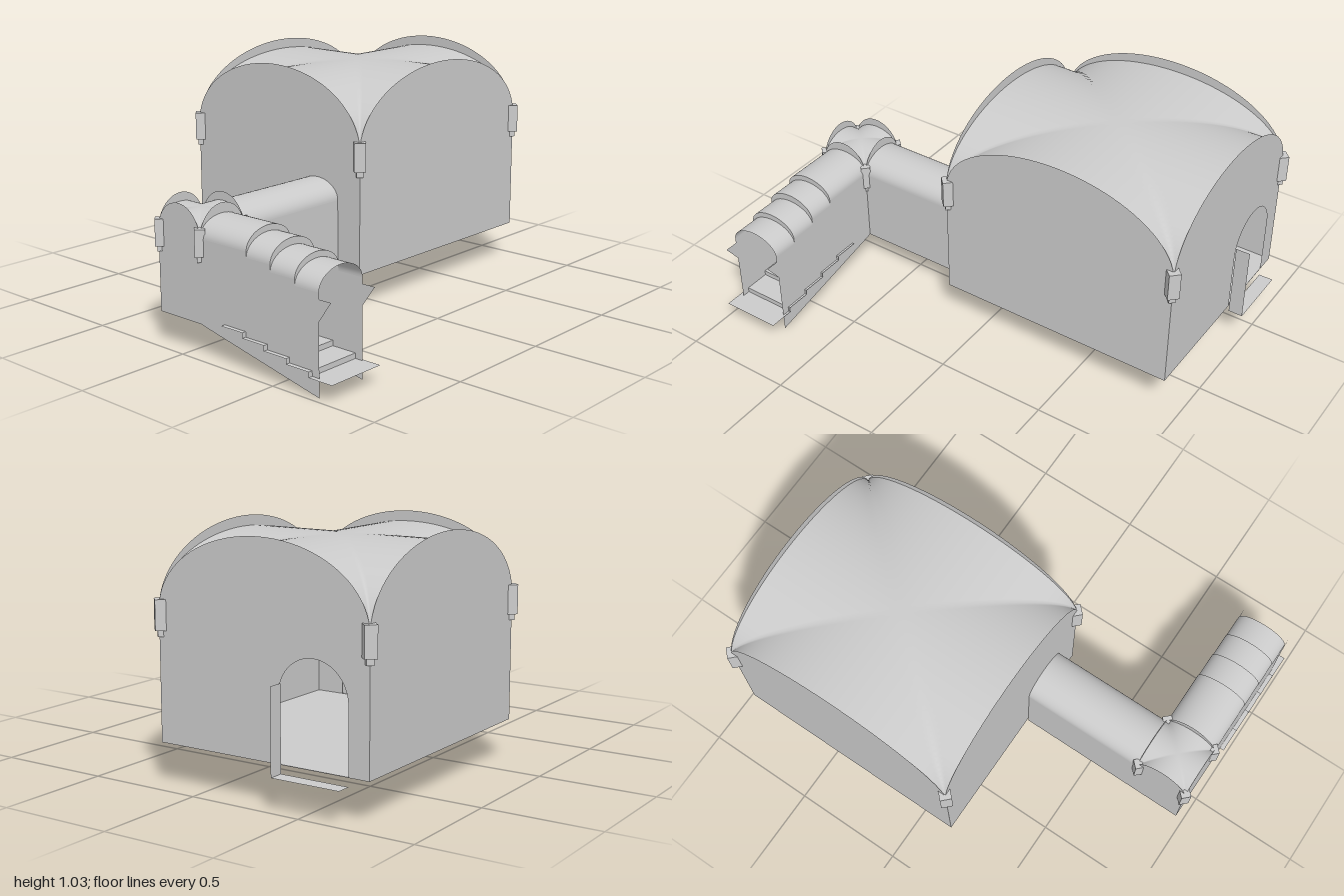
import * as THREE from 'three';

const grey = new THREE.MeshStandardMaterial({ color: 0xcccccc, side: THREE.DoubleSide });
const brown = new THREE.MeshStandardMaterial({ color: 0x9a8577, side: THREE.DoubleSide });

// Height of an elliptical arch at offset t (-1..1) from its centre
const rise = (t, spring, apex) => spring + (apex - spring) * Math.sqrt(Math.max(0, 1 - t * t));
const SEG = 40;
const archPoints = (cx, half, spring, apex) => Array.from({ length: SEG + 1 }, (_, i) => {
  const t = -Math.cos((i / SEG) * Math.PI);
  return new THREE.Vector2(cx + half * t, rise(t, spring, apex));
});

// Flat outline with a straight base and an arched top
function archOutline(cx, half, base, spring, apex) {
  return [new THREE.Vector2(cx - half, base), ...archPoints(cx, half, spring, apex),
    new THREE.Vector2(cx + half, base)];
}

export function createModel() {
  const root = new THREE.Group();
  const add = (name, geometry, parent = root, material = grey) => {
    const mesh = new THREE.Mesh(geometry, material);
    mesh.name = name;
    parent.add(mesh);
    return mesh;
  };

  // Surface whose points follow a rule of (u, v), both 0..1
  function sheet(name, nu, nv, rule, parent) {
    const g = new THREE.PlaneGeometry(1, 1, nu, nv);
    const p = g.attributes.position;
    for (let i = 0; i < p.count; i++) p.setXYZ(i, ...rule(p.getX(i) + 0.5, 0.5 - p.getY(i)));
    g.computeVertexNormals();
    return add(name, g, parent);
  }

  // Upright flat panel; sideways panels lie in a plane of constant x
  function panel(name, points, x, z, sideways, hole, parent) {
    const shape = new THREE.Shape(points);
    if (hole) shape.holes.push(new THREE.Path(hole));
    const mesh = add(name, new THREE.ShapeGeometry(shape), parent);
    mesh.position.set(x, 0, z);
    if (sideways) mesh.rotation.y = Math.PI / 2;
    return mesh;
  }

  // Horizontal plate
  const plate = (name, x0, x1, y, z0, z1, parent) =>
    sheet(name, 1, 1, (u, v) => [x0 + (x1 - x0) * u, y, z0 + (z1 - z0) * v], parent);

  // Two crossing barrels that meet in valleys along the diagonals
  function groinVault(name, cx, cz, hx, hz, spring, apex, parent) {
    sheet(name, 64, 64, (u, v) => {
      const s = -Math.cos(u * Math.PI), t = -Math.cos(v * Math.PI);
      return [cx + hx * s, Math.max(rise(s, spring, apex), rise(t, spring, apex)), cz + hz * t];
    }, parent);
  }

  // Lantern set diagonally on a corner, with a narrow foot
  function lantern(x, y, z, size, height) {
    const g = new THREE.Group();
    g.name = 'cornerLantern';
    const body = add('lanternBody', new THREE.BoxGeometry(size, height * 0.83, size), g);
    body.position.y = height * 0.585;
    const foot = add('lanternFoot', new THREE.BoxGeometry(size * 0.6, height * 0.18, size * 0.6), g);
    foot.position.y = height * 0.09;
    g.position.set(x, y, z);
    g.rotation.y = Math.PI / 4;
    root.add(g);
  }

  // Main hall: four thin arched walls standing a little above a groin vault
  const hall = new THREE.Group();
  hall.name = 'mainHall';
  root.add(hall);
  const hx = 0.552, hz = 0.49, cx = 0.38, cz = -0.28, base = 0.175;
  for (const s of [-1, 1]) {
    panel(s > 0 ? 'frontWall' : 'backWall', archOutline(0, hx, base, 0.715, 1.033), cx, cz + s * hz, false, null, hall);
    const hole = s > 0
      ? archOutline(0.242, 0.156, base + 0.002, 0.445, 0.6)
      : archOutline(-0.245, 0.115, base + 0.002, 0.48, 0.565);
    panel(s > 0 ? 'doorWall' : 'corridorWall', archOutline(0, hz, base, 0.715, 1.033), cx + s * hx, cz, true, hole, hall);
    for (const t of [-1, 1]) lantern(cx + s * (hx - 0.005), 0.605, cz + t * (hz - 0.005), 0.05, 0.15);
  }
  groinVault('hallVault', cx, cz, hx, hz, 0.715, 0.988, hall);
  plate('hallFloor', cx - hx, cx + hx, base, cz - hz, cz + hz, hall);
  add('smallChest', new THREE.BoxGeometry(0.06, 0.055, 0.06), hall, brown).position.set(-0.07, 0.204, -0.64);

  // Side porch: threshold plate and one screen
  plate('porchFloor', 0.932, 0.997, 0.14, -0.68, -0.375);
  panel('porchScreen', [[0.932, 0.14], [0.997, 0.14], [0.997, 0.49], [0.932, 0.49]]
    .map(p => new THREE.Vector2(...p)), 0, -0.375, false);

  // Corridor leading to the hall
  const ax = -0.85, az = -0.035, r = 0.12, low = 0.14;
  const wallX = cx - hx;
  for (const s of [-1, 1]) {
    const x0 = ax + r;
    sheet('corridorSide', 1, 1, (u, v) => [x0 + (wallX - x0) * u, low + (0.485 - low) * v, az + s * r]);
  }
  sheet('corridorRoof', 1, SEG, (u, v) => {
    const t = -Math.cos(v * Math.PI);
    return [ax + r + (wallX - ax - r) * u, rise(t, 0.485, 0.57), az + r * t];
  });
  plate('corridorFloor', ax - r, wallX, low, az - r, az + r);

  // Corner junction: two closed sides, two open arches, vault and lanterns
  const junctionOpening = archOutline(0, r - 0.003, low + 0.001, 0.47, 0.565);
  for (const s of [-1, 1]) {
    const hole = s > 0 ? junctionOpening : null;
    const outline = archOutline(0, r, low, 0.485, 0.612);
    panel('junctionWall', outline, ax, az + s * r, false, hole);
    panel('junctionWall', outline, ax + s * r, az, true, hole);
    for (const t of [-1, 1]) lantern(ax + s * (r - 0.005), 0.395, az + t * (r - 0.005), 0.042, 0.135);
  }
  groinVault('junctionVault', ax, az, r, r, 0.485, 0.575);

  // Stair passage: side walls with a sloping foot and a pointed front fin
  const stairs = new THREE.Group();
  stairs.name = 'stairPassage';
  root.add(stairs);
  const sections = [[0.085, 0.34, 0.49], [0.34, 0.465, 0.465], [0.465, 0.59, 0.435], [0.59, 0.71, 0.41]];
  const profile = [[0.085, low], [0.1, 0.135], [0.71, 0.003], [0.71, 0.3], [0.77, 0.385], [0.71, 0.385]];
  for (const [z0, z1, spring] of [...sections].reverse()) profile.push([z1, spring], [z0, spring]);
  for (const s of [-1, 1]) {
    panel('stairSideWall', profile.map(([z, y]) => new THREE.Vector2(-z, y)), ax + s * r, 0, true, null, stairs);
  }

  // Stepped barrel roof, each section closed by a crescent above the next
  sections.forEach(([z0, z1, spring], i) => {
    const apex = spring + 0.08;
    sheet('roofSection', SEG, 1, (u, v) => {
      const t = -Math.cos(u * Math.PI);
      return [ax + r * t, rise(t, spring, apex), z0 + (z1 - z0) * v];
    }, stairs);
    const next = sections[i + 1];
    if (next) sheet('roofCrescent', SEG, 1, (u, v) => {
      const t = -Math.cos(u * Math.PI);
      return [ax + r * t, rise(t, spring + (next[2] - spring) * v, apex + (next[2] - spring) * v), z1];
    }, stairs);
  });

  // Treads and risers, slightly wider than the passage
  const count = 5, depth = 0.115, step = 0.0225;
  for (let i = 0; i < count; i++) {
    const z = 0.79 - i * depth, y = 0.08 + i * step;
    plate('stairTread', -0.99, -0.72, y, z - depth, z, stairs);
    if (i < count - 1) sheet('stairRiser', 1, 1, (u, v) => [-0.99 + 0.27 * u, y + step * v, z - depth], stairs);
  }
  return root;
}
